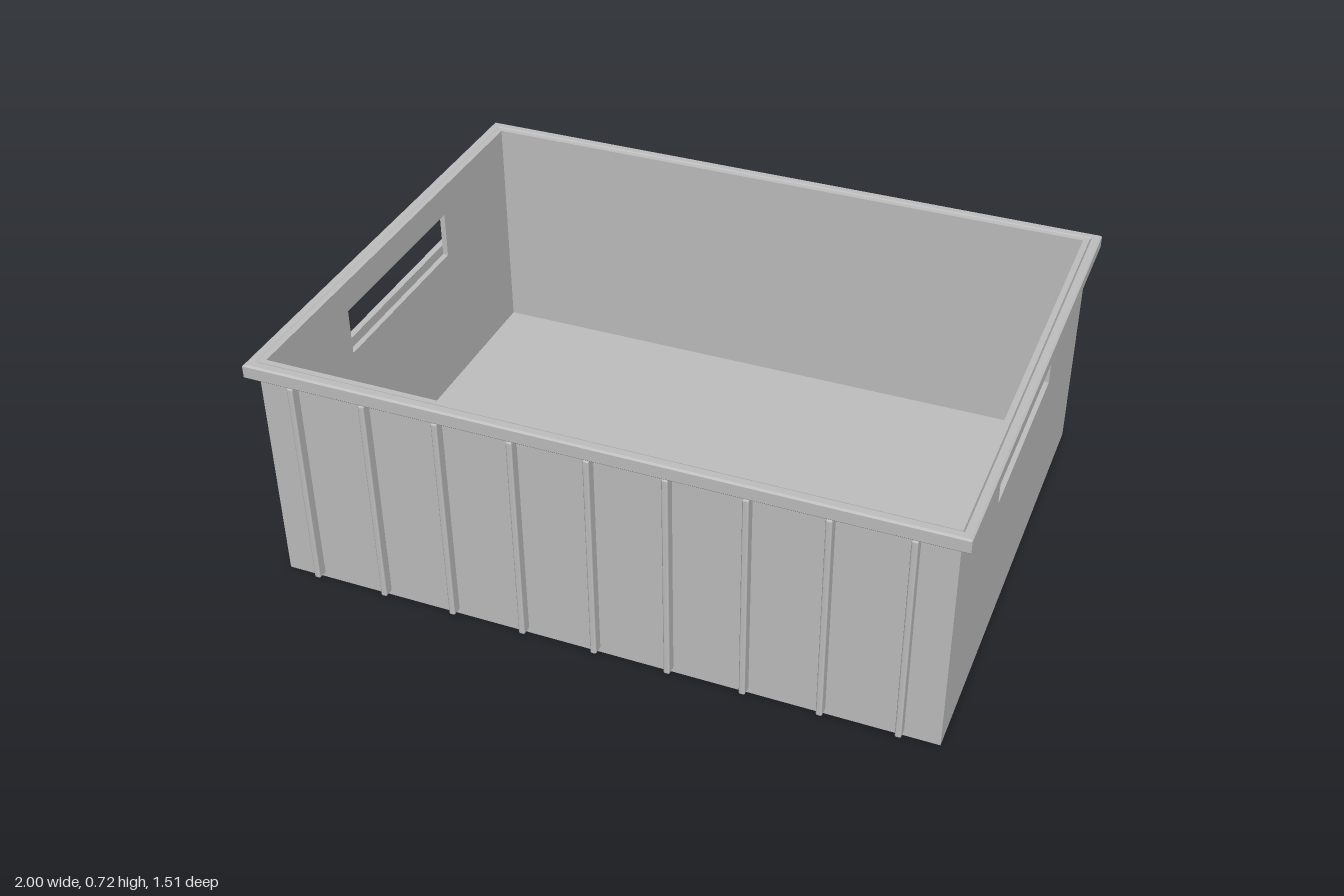
import * as THREE from 'three';
import { RoundedBoxGeometry } from 'three/addons/geometries/RoundedBoxGeometry.js';

const HX = 0.97, HZ = 0.727;     // outer half sizes of the body
const T = 0.017, TOP = 0.718;    // wall thickness and wall height
const RIM_Y = 0.675, HEIGHT = 0.72, RIM = 0.03;

function rect(Type, x0, y0, x1, y1) {
  return new Type([[x0, y0], [x1, y0], [x1, y1], [x0, y1]].map(p => new THREE.Vector2(...p)));
}

export function createModel() {
  const grey = new THREE.MeshStandardMaterial({ color: 0xbfbfbf });
  grey.name = 'grey plastic';
  const model = new THREE.Group();
  model.name = 'storageBin';

  const add = (name, geometry, x = 0, y = 0, z = 0) => {
    const mesh = new THREE.Mesh(geometry, grey);
    mesh.name = name;
    mesh.position.set(x, y, z);
    model.add(mesh);
    return mesh;
  };

  // Floor, front wall and back wall
  add('floor', new THREE.BoxGeometry(2 * HX, T, 2 * HZ), 0, T / 2, 0);
  for (const [name, s] of [['frontWall', 1], ['backWall', -1]]) {
    add(name, new THREE.BoxGeometry(2 * HX, TOP - T, T), 0, (TOP + T) / 2, s * (HZ - T / 2));
  }

  // Side walls with a handle slot
  const side = rect(THREE.Shape, -HZ + T, T, HZ - T, TOP);
  side.holes.push(rect(THREE.Path, -0.297, 0.48, 0.297, 0.625));
  const sideGeometry = new THREE.ExtrudeGeometry(side, { depth: T, bevelEnabled: false });
  sideGeometry.rotateY(Math.PI / 2);
  add('leftWall', sideGeometry, HX - T);
  add('rightWall', sideGeometry, -HX);

  // Bevelled rim around the top edge
  const b = 0.005;
  const rim = rect(THREE.Shape, -HX - RIM, -HZ - RIM, HX + RIM, HZ + RIM);
  rim.holes.push(rect(THREE.Path, -HX, -HZ, HX, HZ));
  const rimGeometry = new THREE.ExtrudeGeometry(rim, {
    depth: HEIGHT - RIM_Y - 2 * b, bevelThickness: b, bevelSize: b, bevelOffset: -b, bevelSegments: 1,
  });
  rimGeometry.rotateX(-Math.PI / 2);
  add('rim', rimGeometry, 0, RIM_Y + b, 0);

  // Vertical ribs on the front
  const ribHeight = RIM_Y - 0.015;
  const ribGeometry = new RoundedBoxGeometry(0.018, ribHeight, 0.04, 2, 0.005);
  for (let i = -4; i <= 4; i++) {
    add('frontRib', ribGeometry, i * 0.2155, 0.015 + ribHeight / 2, HZ + RIM - 0.02);
  }

  // Label plate outside the right wall
  add('labelPlate', new THREE.BoxGeometry(0.02, 0.345, 0.8), -0.99, 0.328, 0);

  return model;
}
